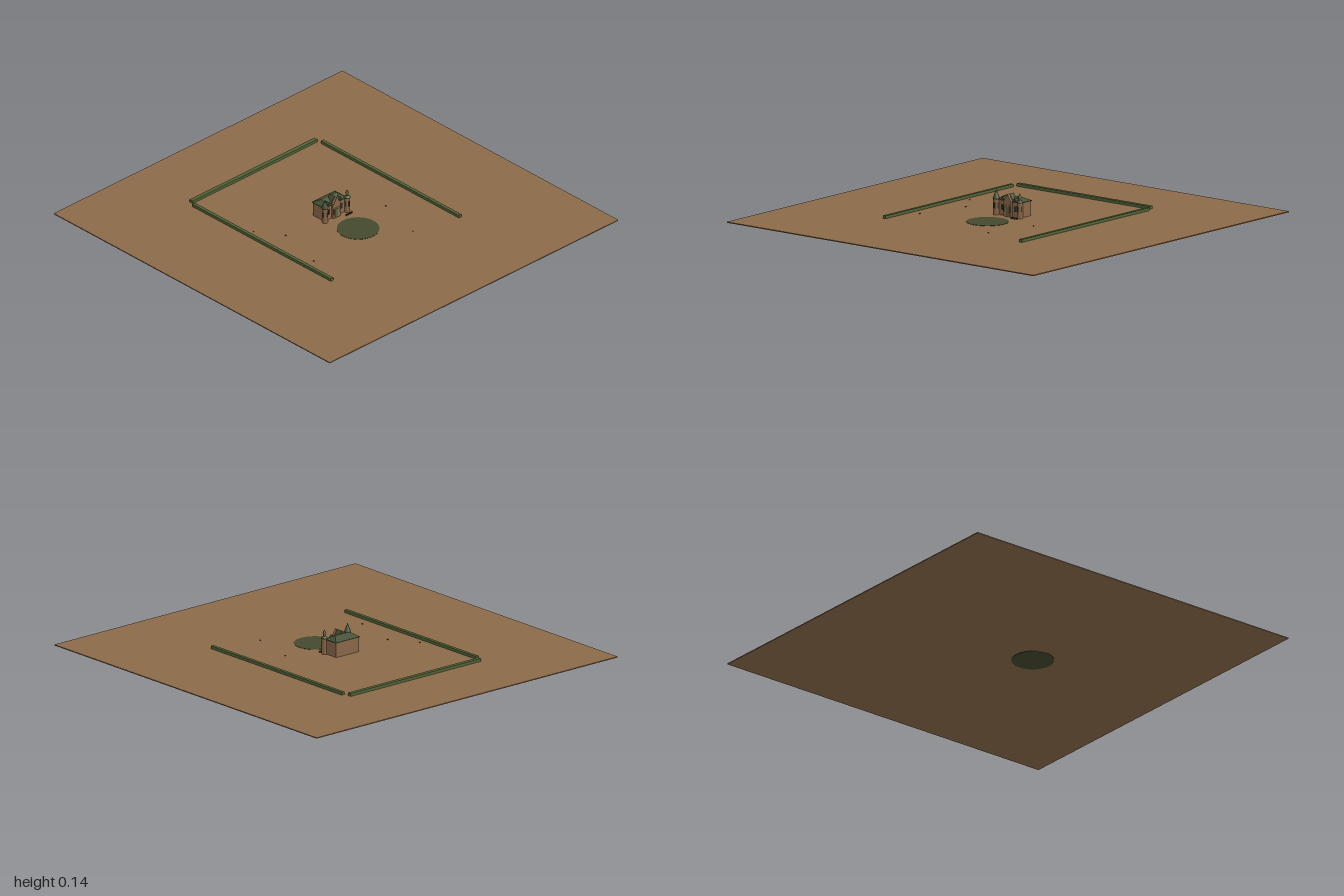
import * as THREE from 'three';

const mat = (name, color, extra = {}) => {
  const m = new THREE.MeshStandardMaterial({ color, ...extra });
  m.name = name;
  return m;
};

export function createModel() {
  const earth = mat('earth', 0x8b6b4a);
  const hedgeGreen = mat('hedge green', 0x4f6136);
  const pondGreen = mat('pond green', 0x45492d);
  const brick = mat('brick', 0x8a6648);
  const roofGreen = mat('roof green', 0x434f31);
  const dark = mat('dark glass', 0x2b2f22);
  const doorGreen = mat('door green', 0x59603c);
  const stone = mat('pale stone', 0x9a7d5c);

  const model = new THREE.Group();
  model.name = 'manorGrounds';
  const G = 0.008; // ground level

  const add = (parent, name, geo, m, x, y, z) => {
    const mesh = new THREE.Mesh(geo, m);
    mesh.name = name;
    mesh.position.set(x, y, z);
    parent.add(mesh);
    return mesh;
  };
  const box = (parent, name, m, w, h, d, x, y, z) =>
    add(parent, name, new THREE.BoxGeometry(w, h, d), m, x, y + h / 2, z);
  const cyl = (parent, name, m, rt, rb, h, x, y, z, n = 16) =>
    add(parent, name, new THREE.CylinderGeometry(rt, rb, h, n), m, x, y + h / 2, z);

  // Box whose top is drawn in to make a hipped roof
  const hip = (w, h, d, topW, topD) => {
    const geo = new THREE.BoxGeometry(w, h, d).toNonIndexed();
    const p = geo.attributes.position;
    for (let i = 0; i < p.count; i++) {
      if (p.getY(i) > 0) p.setXYZ(i, Math.sign(p.getX(i)) * topW / 2, h / 2, Math.sign(p.getZ(i)) * topD / 2);
    }
    geo.computeVertexNormals();
    return geo;
  };
  // Triangular prism running along z, standing on y = 0
  const prism = (w, h, d) => {
    const s = new THREE.Shape([[-w / 2, 0], [w / 2, 0], [0, h]].map(a => new THREE.Vector2(...a)));
    return new THREE.ExtrudeGeometry(s, { depth: d, bevelEnabled: false });
  };

  // Ground and round pond
  box(model, 'ground', earth, 2, 0.005, 2, 0, 0.003, 0);
  cyl(model, 'pond', pondGreen, 0.107, 0.107, 0.0095, 0, 0, 0.16, 40);

  // Hedges on three sides
  for (const s of [-1, 1]) box(model, 'sideHedge', hedgeGreen, 0.018, 0.015, 1, s * 0.444, G, -0.065);
  box(model, 'backHedge', hedgeGreen, 0.866, 0.015, 0.022, 0, G, -0.598);

  // Main block with eaves and hipped roof
  const house = new THREE.Group();
  house.name = 'house';
  model.add(house);
  box(house, 'walls', brick, 0.15, 0.077, 0.082, 0, G, -0.047);
  box(house, 'eaves', roofGreen, 0.16, 0.003, 0.09, 0, 0.084, -0.047);
  add(house, 'hippedRoof', hip(0.16, 0.02, 0.09, 0.1, 0.008), roofGreen, 0, 0.097, -0.047);

  // Central entrance bay with gable
  box(house, 'entranceBay', brick, 0.05, 0.08, 0.02, 0, G, -0.004);
  add(house, 'entranceGable', prism(0.046, 0.036, 0.014), brick, 0, 0.088, -0.008);
  add(house, 'gableRoof', prism(0.052, 0.036, 0.035), roofGreen, 0, 0.087, -0.045);
  box(house, 'door', doorGreen, 0.016, 0.05, 0.003, 0, G, 0.007);
  for (const s of [-1, 1]) {
    box(house, 'doorPost', stone, 0.004, 0.054, 0.005, s * 0.011, G, 0.008);
    box(house, 'bayWindow', dark, 0.005, 0.03, 0.002, s * 0.019, 0.03, 0.0065);
    // Front windows and dormers
    box(house, 'frontWindow', dark, 0.012, 0.028, 0.002, s * 0.042, 0.036, -0.0055);
    add(house, 'dormer', prism(0.024, 0.016, 0.03), roofGreen, s * 0.04, 0.087, -0.035);
  }
  box(house, 'lintel', stone, 0.028, 0.004, 0.006, 0, 0.062, 0.008);

  // Corner towers
  for (const s of [-1, 1]) {
    const tower = new THREE.Group();
    tower.name = s < 0 ? 'spireTower' : 'lanternTower';
    tower.position.set(s * 0.077, 0, 0);
    house.add(tower);
    cyl(tower, 'towerWall', brick, 0.015, 0.015, 0.082, 0, G, 0);
    cyl(tower, 'towerCornice', roofGreen, 0.018, 0.017, 0.004, 0, 0.088, 0);
    for (const a of [0, 1, -1]) {
      const w = box(tower, 'towerWindow', dark, 0.007, 0.03, 0.002,
        Math.sin(a * 1.3) * 0.0148, 0.042, Math.cos(a * 1.3) * 0.0148);
      w.rotation.y = a * 1.3;
    }
    if (s < 0) {
      cyl(tower, 'spire', roofGreen, 0, 0.018, 0.046, 0, 0.092, 0);
    } else {
      cyl(tower, 'towerCap', roofGreen, 0.008, 0.018, 0.01, 0, 0.092, 0);
      cyl(tower, 'lantern', brick, 0.006, 0.006, 0.014, 0, 0.102, 0, 10);
      cyl(tower, 'lanternRoof', roofGreen, 0, 0.01, 0.02, 0, 0.116, 0, 10);
    }
  }

  // Small row of posts in front of the lantern tower
  for (let i = 0; i < 4; i++) box(model, 'gardenPost', dark, 0.007, 0.008, 0.005, 0.045 + i * 0.012, G, 0.029);

  // Scattered stones
  for (const [x, z] of [[-0.4, -0.18], [-0.31, -0.04], [0.25, 0.1], [-0.38, 0.235], [0.18, 0.37]]) {
    box(model, 'stone', pondGreen, 0.005, 0.004, 0.005, x, G, z);
  }
  return model;
}
